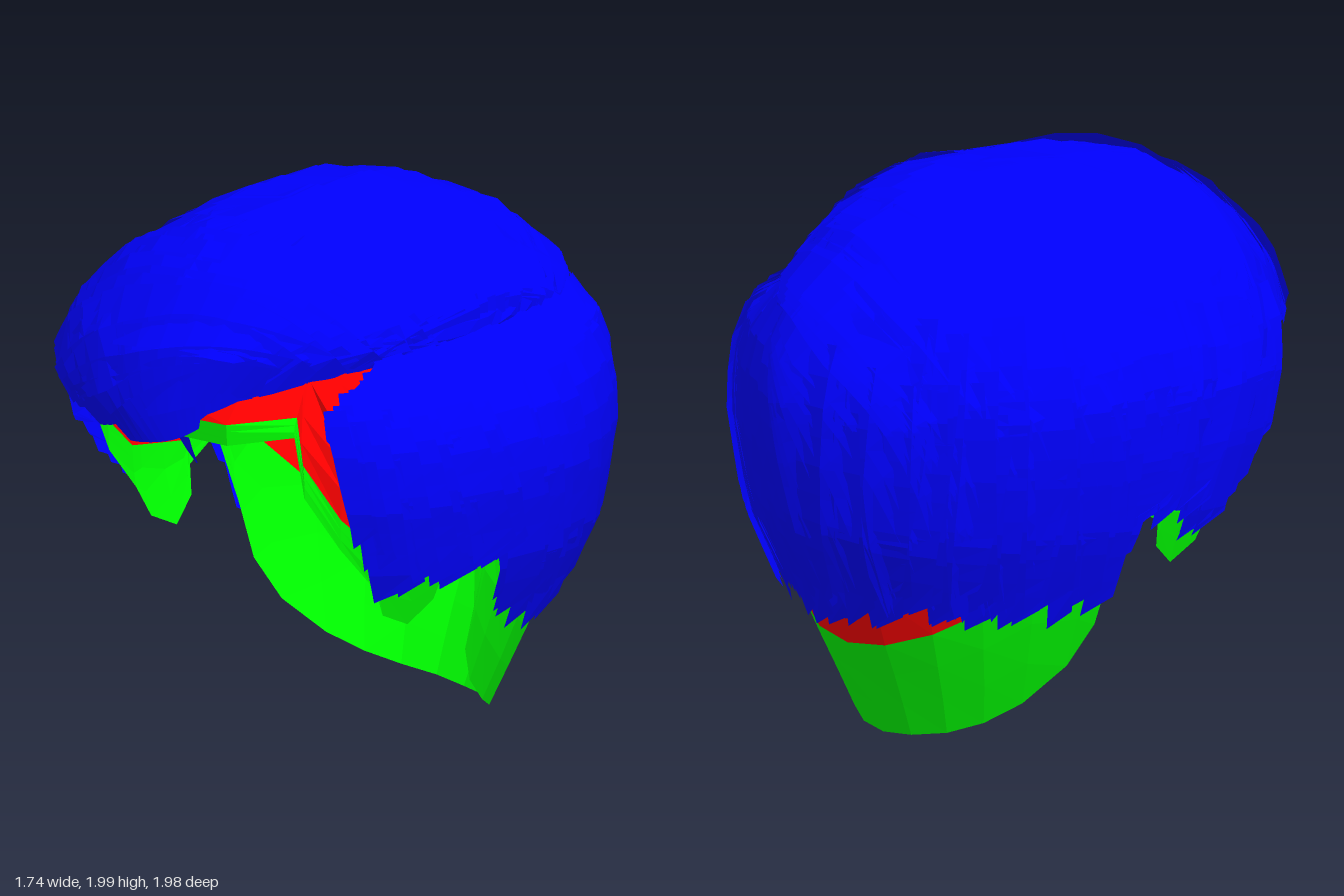
import * as THREE from 'three';
import { mergeGeometries } from 'three/addons/utils/BufferGeometryUtils.js';

const D = Math.PI / 180;
let seed = 7;
const rnd = () => (seed = (seed * 16807) % 2147483647) / 2147483647;
const lerp = THREE.MathUtils.lerp;

// Linear lookup in rows whose first entry is an ascending key
function look(rows, k, col = 1) {
  if (k <= rows[0][0]) return rows[0][col];
  for (let i = 1; i < rows.length; i++) {
    const a = rows[i - 1], b = rows[i];
    if (k <= b[0]) return lerp(a[col], b[col], (k - a[0]) / (b[0] - a[0]));
  }
  return rows[rows.length - 1][col];
}

// Horizontal sections: height, half width, depth to front, depth to back
const CAP = [[0, .4, .45, .48], [.2, .49, .52, .57], [.4, .57, .6, .67], [.6, .64, .9, .75],
  [.8, .7, .92, .8], [1, .72, .92, .84], [1.2, .73, .92, .85], [1.4, .7, .92, .8],
  [1.6, .5, .64, .62], [1.75, .3, .4, .38], [1.84, 0, 0, 0]];
// The top hair has a narrower half width on the parted side (last entry)
const TOP = [[.5, .66, .55, .72, .5], [.8, .78, .8, .85, .5], [1.05, .83, .94, .89, .5], [1.25, .84, .99, .9, .5],
  [1.4, .8, 1.02, .87, .5], [1.6, .71, .97, .77, .58], [1.8, .52, .8, .55, .47], [1.92, .3, .58, .27, .3], [1.97, 0, 0, 0, 0]];
const SIDE = [[.5, .63, .6, .73], [.8, .78, .84, .85], [1.1, .84, .9, .89], [1.3, .83, .9, .89],
  [1.45, .77, .88, .84], [1.54, .68, .8, .77], [1.59, .5, .62, .64]];

// Lower outlines by angle from the front (degrees), height
const CAP_EDGE = [[0, 1.29], [22, 1.32], [44, 1.37], [46, 1.15], [57, .95], [68, .77], [71, .66], [78, .6],
  [83, .68], [84, .78], [89, .86], [90, .6], [91, .42], [98, .27], [113, .14], [128, .07], [144, .03], [162, .01], [180, 0]];
const CAP_BAND = [[0, 1.36], [44, 1.43], [46, 1.27], [57, 1.06], [68, .92], [83, .87], [90, .92], [98, .82],
  [113, .62], [128, .52], [144, .43], [162, .37], [180, .35]];
const HAIR_EDGE = [[0, 1.29], [15, 1.34], [30, 1.4], [48, 1.36], [54, 1.1], [61, .84], [66, .78], [86, .86],
  [93, .82], [97, .6], [110, .55], [140, .57], [180, .52]];
const PART_EDGE = [[0, 1.29], [40, 1.33], [55, 1.46], [150, 1.45], [168, 1.2], [180, .52]];

// Point on a sectioned surface; a in degrees, positive towards +x.
// The front half is squared off a little, the back half is elliptical.
function at(rows, a, y, lift = 0) {
  const c = Math.cos(a * D), s = Math.sin(a * D), front = c > 0;
  const p = front ? (rows === CAP ? .72 : .85) : 1;
  let x = look(rows, y, rows === TOP && a > 0 ? 4 : 1) * Math.sign(s) * Math.abs(s) ** p;
  if (rows === TOP && front) x -= .13 * look(TOP, y) * c * c;
  const z = Math.sign(c) * Math.abs(c) ** p * look(rows, y, front ? 2 : 3) - .04;
  return [x * (1 + lift), y + lift * (y - 1.1), z * (1 + lift)];
}

// Surface from a grid of points fn(u, v)
function grid(nu, nv, fn) {
  const p = [], idx = [];
  for (let i = 0; i <= nu; i++) for (let j = 0; j <= nv; j++) p.push(...fn(i / nu, j / nv));
  for (let i = 0; i < nu; i++) for (let j = 0; j < nv; j++) {
    const a = i * (nv + 1) + j, b = a + nv + 1;
    idx.push(a, a + 1, b, b, a + 1, b + 1);
  }
  const g = new THREE.BufferGeometry();
  g.setAttribute('position', new THREE.Float32BufferAttribute(p, 3));
  g.setIndex(idx);
  g.computeVertexNormals();
  return g;
}

// Disc coordinates: radius 0 at the crown, 1 at the lowest section
const N = TOP.length - 1;
const Y_OF = TOP.map((r, i) => [1 - i / N, r[0]]).reverse();
const R_OF = TOP.map((r, i) => [r[0], 1 - i / N]);
const topEdge = a => look(a > 0 ? PART_EDGE : HAIR_EDGE, Math.abs(a));

// Ribbon of top hair running straight across the disc
function topStrand(a0, y0, a1, y1, width, lift) {
  const pol = (a, y) => new THREE.Vector2(Math.sin(a * D), Math.cos(a * D)).multiplyScalar(look(R_OF, y));
  const s = pol(a0, y0), e = pol(a1, y1), dir = e.clone().sub(s).normalize();
  const rag = (rnd() - .65) * .1, bow = (rnd() - .5) * .08;
  return grid(14, 1, (u, v) => {
    const off = (v - .5) * width * (.6 + .4 * Math.sin(Math.PI * u)) + bow * Math.sin(Math.PI * u);
    const q = s.clone().lerp(e, u).add(new THREE.Vector2(-dir.y, dir.x).multiplyScalar(off));
    const a = Math.atan2(q.x, q.y) / D;
    const y = Math.max(look(Y_OF, Math.min(1, q.length())), topEdge(a) + rag);
    return at(TOP, a, y, lift + .016 * v);
  });
}

// Ribbon of hair combed down and back
function downStrand(rows, a0, y0, a1, y1, width, lift) {
  return grid(9, 1, (u, v) => {
    const a = lerp(a0, a1, u ** 1.4) + (v - .5) * width;
    return at(rows, a, lerp(y0, y1, u) + (u === 1 ? (v - .5) * .07 : 0), lift + .018 * v + .008 * u);
  });
}

export function createModel() {
  const model = new THREE.Group();
  const mat = color => new THREE.MeshStandardMaterial({ color, flatShading: true, side: THREE.DoubleSide });
  const blue = mat(0x0000ff), red = mat(0xff0000), green = mat(0x00ff00);
  const add = (name, geo, m) => {
    const mesh = new THREE.Mesh(geo, m);
    mesh.name = name;
    model.add(mesh);
  };

  // Scalp cap: green border with sideburns, ear notches and nape, red crown.
  // Columns sit on the outline's own corner angles, mirrored.
  const half = CAP_EDGE.map(r => r[0]);
  const cols = [...half.slice(1).reverse().map(a => -a), ...half];
  const col = u => cols[Math.round(u * (cols.length - 1))];
  add('capBorder', grid(cols.length - 1, 3, (u, v) => {
    const a = col(u), b = Math.abs(a);
    return at(CAP, a, lerp(look(CAP_EDGE, b), look(CAP_BAND, b), v));
  }), green);
  add('capCrown', grid(cols.length - 1, 7, (u, v) => {
    const a = col(u);
    return at(CAP, a, lerp(look(CAP_BAND, Math.abs(a)), 1.84, v));
  }), red);

  // Solid layer of the swept top hair
  const ragged = Array.from({ length: 91 }, () => rnd() * .06);
  add('topHair', grid(90, 16, (u, v) => {
    const a = u * 360 - 180, e = topEdge(a) + ragged[Math.round(u * 90) % 90];
    return at(TOP, a, look(Y_OF, v * look(R_OF, e)));
  }), blue);

  // Solid layer of the side hair below the parting
  const sideTop = a => look([[46, 1.42], [56, 1.52], [68, 1.59], [140, 1.59], [180, 1.5]], a);
  add('sideHair', grid(36, 10, (u, v) => {
    const a = lerp(47, 181, u);
    return at(SIDE, a, lerp(sideTop(a), look(HAIR_EDGE, a) + ragged[Math.round(u * 36)], v));
  }), blue);

  // Locks from the parting across the crown to the front, far side and back
  const top = [];
  for (let i = 0; i < 64; i++) {
    const k = i / 63, a0 = lerp(42, 155, k);
    const a1 = lerp(4, -176, k) + (rnd() - .5) * 8;
    top.push(topStrand(a0, 1.48 + rnd() * .06, a1, topEdge(a1), .09 + rnd() * .07, rnd() * .02));
  }
  add('sweptLocks', mergeGeometries(top), blue);

  // Locks hanging over the far side and the back
  const back = [];
  for (let i = 0; i < 56; i++) {
    const a1 = lerp(-55, -176, i / 55) + (rnd() - .5) * 4;
    back.push(downStrand(TOP, a1 + 14 * (rnd() - .3), 1.2 + rnd() * .4, a1,
      look(HAIR_EDGE, -a1) + (rnd() - .5) * .12, 5 + rnd() * 6, rnd() * .022));
  }
  add('backLocks', mergeGeometries(back), blue);

  // Locks combed back and down over the near side
  const side = [];
  for (let i = 0; i < 52; i++) {
    const k = i / 51, a0 = lerp(50, 160, k), a1 = a0 + lerp(6, 20, k);
    side.push(downStrand(SIDE, a0, sideTop(a0) - rnd() * .03, a1,
      look(HAIR_EDGE, a1) + (rnd() - .5) * .1, 5 + rnd() * 6, rnd() * .022));
  }
  add('sideLocks', mergeGeometries(side), blue);

  // Loose wisps over the forehead
  const wisps = [[-32, .1], [-5, .1], [22, .2], [-40, .12]].map(([a, drop]) => grid(3, 1, (u, v) =>
    at(TOP, a + (v - .5) * 6 * (1 - u * .9), 1.38 - u * drop, -.04 - .08 * u)));
  add('foreheadWisps', mergeGeometries(wisps), blue);

  return model;
}
